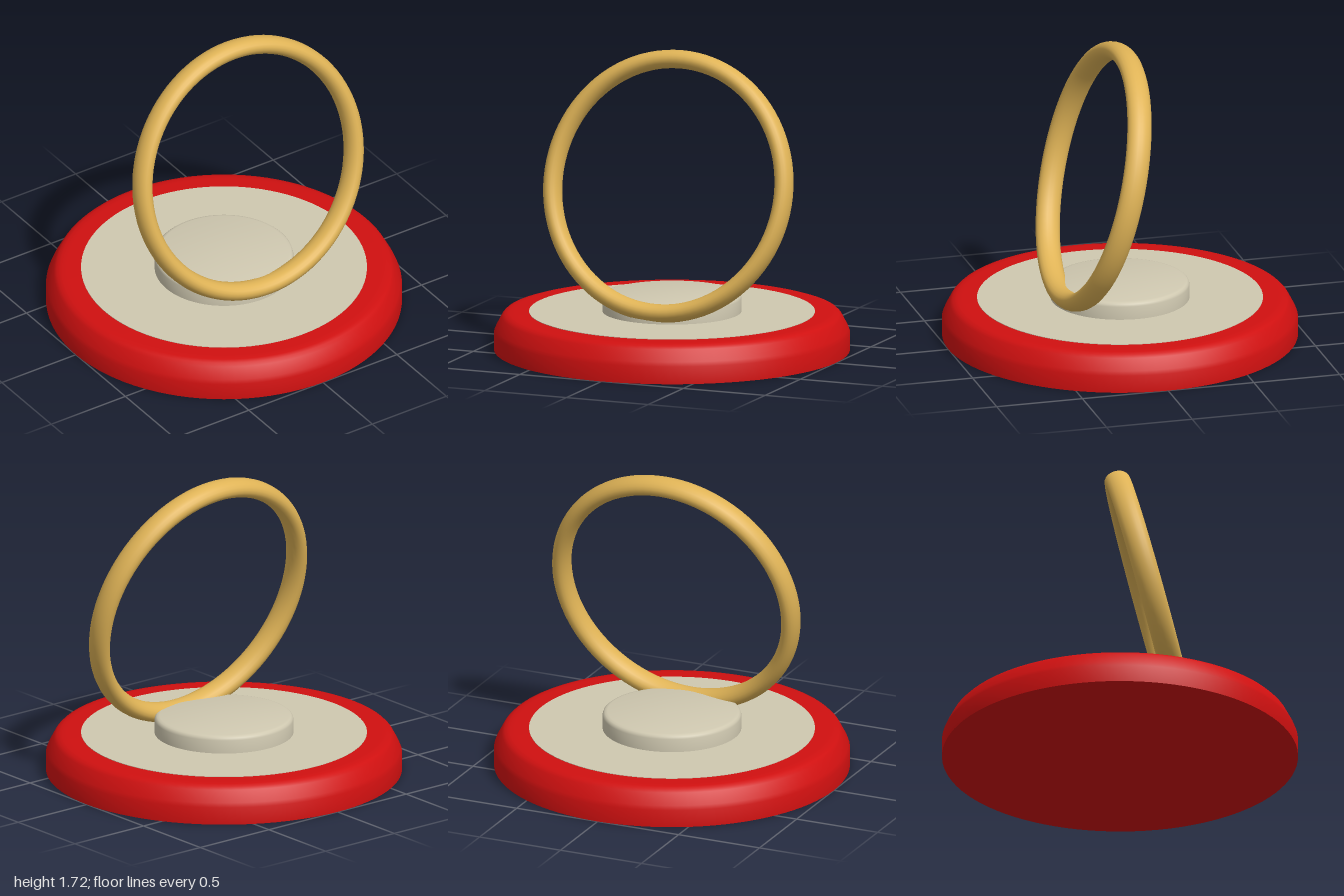
import * as THREE from 'three';
import { toCreasedNormals } from 'three/addons/utils/BufferGeometryUtils.js';

function material(name, color) {
  const m = new THREE.MeshStandardMaterial({ color });
  m.name = name;
  return m;
}

// Turned part from [radius, height] pairs, bottom to top
function turned(name, profile, mat) {
  const points = profile.map(([r, y]) => new THREE.Vector2(r, y));
  const geometry = toCreasedNormals(new THREE.LatheGeometry(points, 96), 0.6);
  const mesh = new THREE.Mesh(geometry, mat);
  mesh.name = name;
  return mesh;
}

export function createModel() {
  const red = material('red', 0xd01010);
  const cream = material('cream', 0xcfc8b0);
  const gold = material('gold', 0xdfb356);
  const model = new THREE.Group();
  model.name = 'ringOnBase';

  // Round base with a sloped, softened shoulder
  model.add(turned('base', [
    [0, 0], [1, 0], [1, 0.1], [0.99, 0.125], [0.956, 0.19],
    [0.94, 0.206], [0.915, 0.214], [0.88, 0.216], [0, 0.216],
  ], red));

  // Thin inlay on the top face
  model.add(turned('inlay', [[0.803, 0.214], [0.803, 0.219], [0, 0.219]], cream));

  // Raised centre pad with a rounded rim
  model.add(turned('pad', [
    [0, 0.216], [0.39, 0.216], [0.39, 0.295], [0.386, 0.308],
    [0.377, 0.316], [0.362, 0.32], [0, 0.32],
  ], cream));

  // Leaning ring, wider along its axis than across the band
  const ring = new THREE.Mesh(new THREE.TorusGeometry(0.703, 0.051, 20, 96), gold);
  ring.name = 'ring';
  ring.scale.set(1, 1.02, 1.38);
  ring.rotation.x = -0.255;
  ring.position.set(0.05, 0.968, 0.168);
  model.add(ring);

  return model;
}
